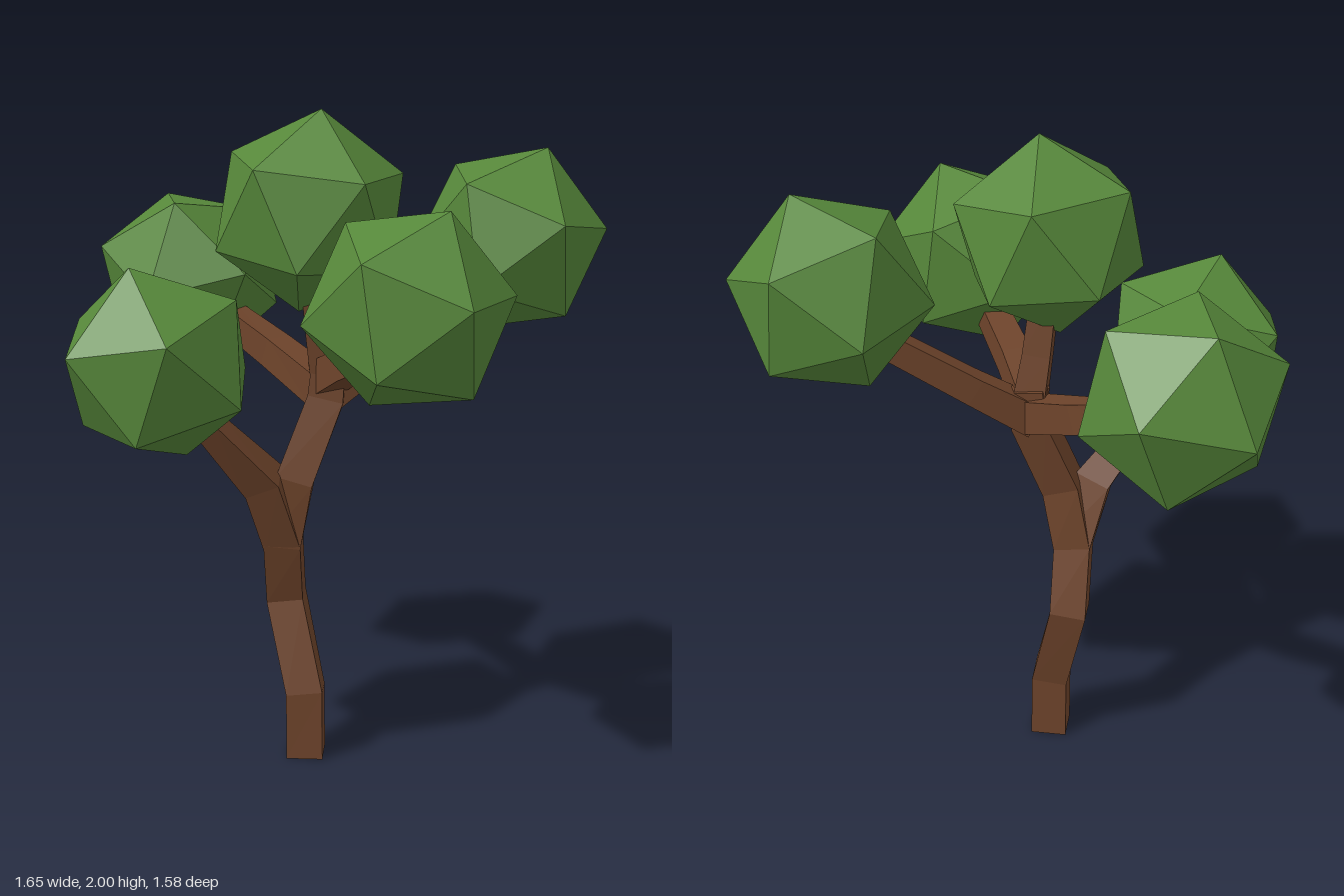
import * as THREE from 'three';

const bark = new THREE.MeshStandardMaterial({ color: 0x6e442b, flatShading: true });
const leaf = new THREE.MeshStandardMaterial({ color: 0x56873a, flatShading: true });
const V = (a) => new THREE.Vector3(a[0], a[1], a[2]);

// Square-section limb lofted through [x, y, z, halfWidth] points
function limb(name, points, ref) {
  const pts = points.map(V);
  const last = pts.length - 1;
  const pos = [];
  const index = [];
  pts.forEach((p, i) => {
    const into = pts[i].clone().sub(pts[Math.max(i - 1, 0)]).normalize();
    const out = pts[Math.min(i + 1, last)].clone().sub(p).normalize();
    const t = into.add(out).normalize();
    const e1 = V(ref).addScaledVector(t, -t.dot(V(ref))).normalize();
    const e2 = t.clone().cross(e1);
    for (const [a, b] of [[1, 1], [-1, 1], [-1, -1], [1, -1]]) {
      const h = points[i][3];
      const c = p.clone().addScaledVector(e1, a * h).addScaledVector(e2, b * h);
      pos.push(c.x, c.y, c.z);
    }
  });
  for (let i = 0; i < last; i++) {
    for (let j = 0; j < 4; j++) {
      const a = i * 4 + j, b = i * 4 + (j + 1) % 4;
      index.push(a, b, b + 4, a, b + 4, a + 4);
    }
  }
  const e = last * 4;
  index.push(0, 2, 1, 0, 3, 2, e, e + 1, e + 2, e, e + 2, e + 3);
  const geo = new THREE.BufferGeometry();
  geo.setAttribute('position', new THREE.Float32BufferAttribute(pos, 3));
  geo.setIndex(index);
  const flat = geo.toNonIndexed();
  flat.computeVertexNormals();
  const mesh = new THREE.Mesh(flat, bark);
  mesh.name = name;
  return mesh;
}

// Orthonormal frame whose first axis is u and whose second leans towards v
function frame(u, v) {
  const x = u.clone().normalize();
  const y = v.clone().addScaledVector(x, -x.dot(v)).normalize();
  return new THREE.Matrix4().makeBasis(x, y, x.clone().cross(y));
}

// Icosahedron turned so two adjacent corners point along u and v
function foliage(name, center, u, v) {
  const t = (1 + Math.sqrt(5)) / 2;
  const source = frame(V([-1, t, 0]), V([1, t, 0]));
  const geo = new THREE.IcosahedronGeometry(0.297, 0);
  geo.applyMatrix4(frame(V(u), V(v)).multiply(source.transpose()));
  const mesh = new THREE.Mesh(geo, leaf);
  mesh.position.set(...center);
  mesh.name = name;
  return mesh;
}

export function createModel() {
  const tree = new THREE.Group();
  tree.name = 'tree';
  const twist = [0.965, 0, 0.262];
  const up = [0, 1, 0];

  // Crooked trunk and its low fork
  tree.add(limb('trunk', [
    [-0.115, 0, 0.012, 0.056], [-0.115, 0.21, 0.012, 0.056], [-0.16, 0.5, -0.065, 0.056],
    [-0.178, 0.7, -0.005, 0.056], [-0.145, 0.9, 0.025, 0.056], [-0.045, 1.14, 0.005, 0.054],
    [-0.035, 1.25, 0.005, 0.05],
  ], twist));
  tree.add(limb('lowBranch', [
    [-0.178, 0.7, -0.005, 0.055], [-0.245, 0.9, 0.045, 0.055],
    [-0.42, 1.1, 0.105, 0.036], [-0.52, 1.23, 0.13, 0.034],
  ], twist));

  // Upper branches fanning out from the crown of the trunk
  tree.add(limb('leftBranch', [
    [-0.05, 1.15, 0, 0.05], [0.13, 1.265, -0.02, 0.043], [0.43, 1.46, -0.035, 0.037],
  ], up));
  tree.add(limb('frontBranch', [
    [-0.045, 1.2, 0, 0.05], [-0.01, 1.27, 0.16, 0.045], [0.05, 1.36, 0.4, 0.04],
  ], up));
  tree.add(limb('backBranch', [
    [-0.045, 1.16, 0, 0.05], [-0.165, 1.25, -0.21, 0.045], [-0.32, 1.36, -0.43, 0.038],
  ], up));
  tree.add(limb('topBranch', [
    [-0.04, 1.2, 0.005, 0.048], [-0.065, 1.35, 0.02, 0.042], [-0.09, 1.55, 0.04, 0.038],
  ], twist));

  // Leaf clumps: centre, then the directions of two adjacent corners
  tree.add(foliage('topFoliage', [-0.102, 1.703, 0.053], [0.03, 0.297, 0.026], [0.276, 0.107, -0.003]));
  tree.add(foliage('leftFoliage', [0.533, 1.596, -0.045], [0.099, 0.278, 0.045], [0.29, 0.035, 0.051]));
  tree.add(foliage('frontFoliage', [0.083, 1.484, 0.509], [0.092, 0.27, 0.071], [0.292, 0.04, 0.031]));
  tree.add(foliage('rightFoliage', [-0.559, 1.291, 0.138], [-0.079, 0.28, 0.041], [-0.271, 0.042, 0.122]));
  tree.add(foliage('backFoliage', [-0.387, 1.444, -0.531], [-0.062, 0.25, 0.156], [-0.048, 0.25, -0.156]));

  return tree;
}
